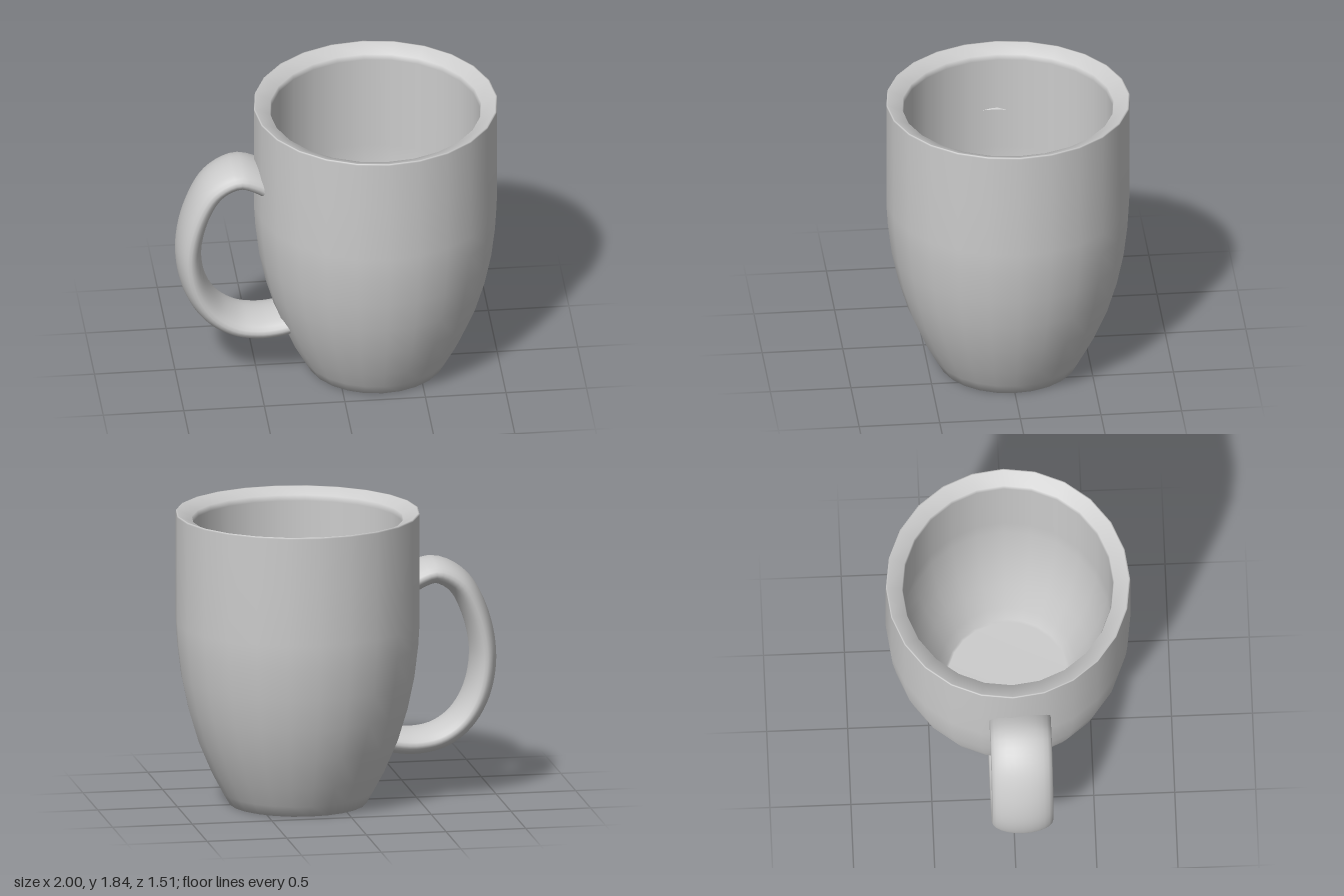
import * as THREE from 'three';

const CENTRE_X = 0.245; // axis of the cup, offset to balance the handle

function createCup(material) {
  // One closed profile [radius, y]: base, outer wall, rim, inner wall, floor
  const profile = [
    [0, 0], [0.425, 0], [0.465, 0.07], [0.535, 0.2], [0.62, 0.4], [0.68, 0.6],
    [0.722, 0.8], [0.746, 1.0], [0.755, 1.15], [0.755, 1.5], [0.755, 1.825],
    [0.753, 1.835], [0.745, 1.834], [0.655, 1.795], [0.648, 1.76], [0.648, 1.15],
    [0.64, 1.0], [0.615, 0.8], [0.575, 0.6], [0.515, 0.4], [0.435, 0.2],
    [0.39, 0.11], [0.375, 0.1], [0, 0.1],
  ].map(([r, y]) => new THREE.Vector2(r, y));
  // Start angle places a profile vertex on each axis
  const cup = new THREE.Mesh(new THREE.LatheGeometry(profile, 24), material);
  cup.name = 'cup';
  cup.position.x = CENTRE_X;
  return cup;
}

function createHandle(material) {
  // Centreline of the loop; both ends are buried in the cup wall
  const path = new THREE.CatmullRomCurve3([
    [-0.43, 1.35], [-0.51, 1.398], [-0.62, 1.428], [-0.765, 1.352], [-0.872, 1.16],
    [-0.924, 0.89], [-0.882, 0.645], [-0.778, 0.475], [-0.64, 0.382],
    [-0.49, 0.354], [-0.36, 0.365], [-0.285, 0.385],
  ].map(([x, y]) => new THREE.Vector3(x, y, 0)));
  const radius = 0.079;
  const geometry = new THREE.TubeGeometry(path, 48, radius, 24, false);
  // Widen the round tube into a broad oval strap
  geometry.scale(1, 1, 0.19 / radius);
  const handle = new THREE.Mesh(geometry, material);
  handle.name = 'handle';
  handle.position.z = 0.045;
  return handle;
}

export function createModel() {
  const material = new THREE.MeshStandardMaterial({ color: 0xcccccc, side: THREE.DoubleSide });
  const mug = new THREE.Group();
  mug.name = 'mug';
  mug.add(createCup(material), createHandle(material));
  return mug;
}
